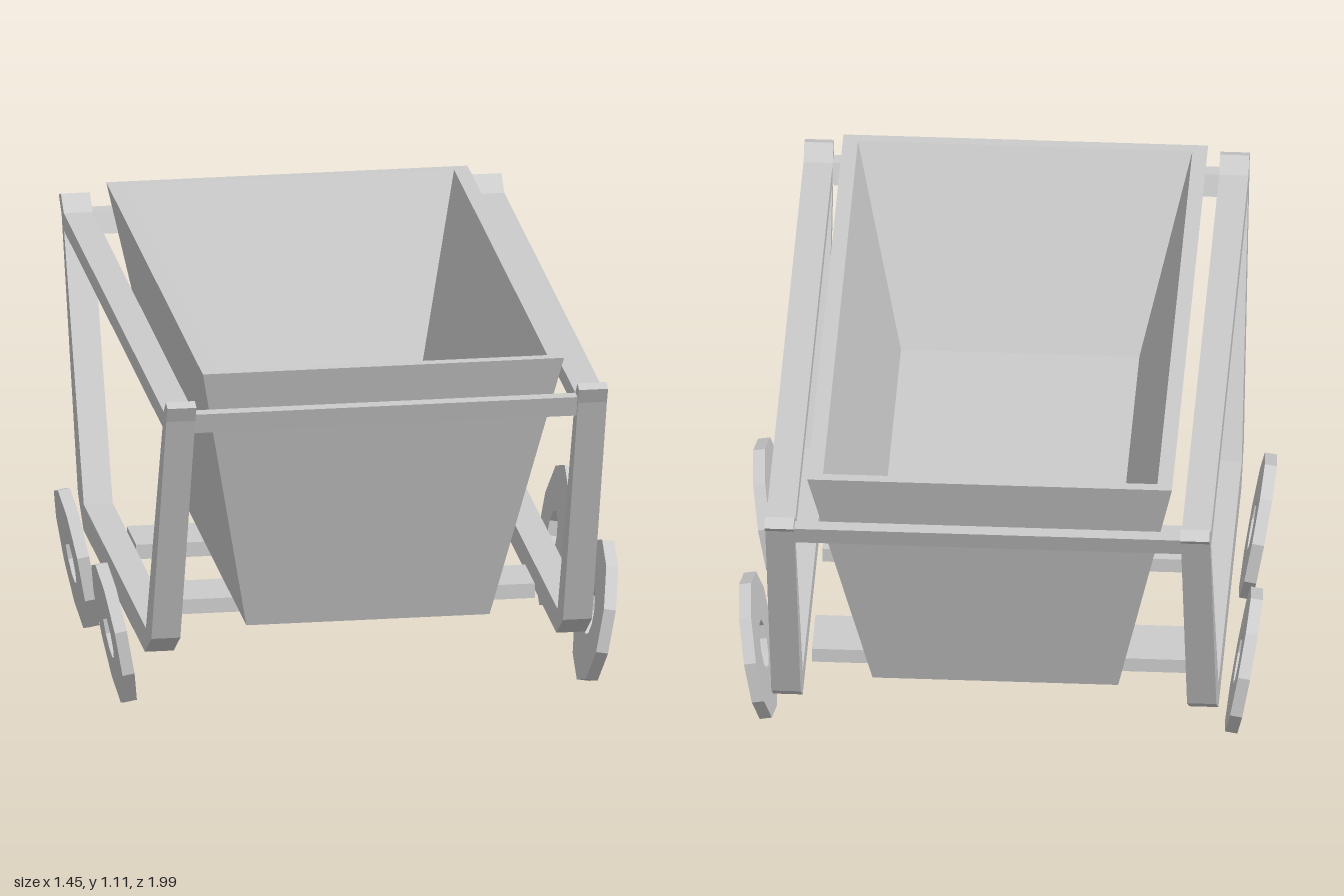
import * as THREE from 'three';

const material = new THREE.MeshStandardMaterial({ color: 0xcccccc, flatShading: true });

function add(parent, name, geometry) {
  const mesh = new THREE.Mesh(geometry, material);
  mesh.name = name;
  parent.add(mesh);
  return mesh;
}

const points = list => list.map(([a, b]) => new THREE.Vector2(a, b));

// Extrude a counter-clockwise side profile of [z, y] points from x0 to x1
function extrudeX(profile, x0, x1, hole) {
  const shape = new THREE.Shape(points(profile));
  if (hole) shape.holes.push(new THREE.Path(points(hole)));
  return new THREE.ExtrudeGeometry(shape, { depth: x1 - x0, bevelEnabled: false })
    .rotateY(-Math.PI / 2)
    .translate(x1, 0, 0);
}

// Hollow tapered bin: rectangles joined in order, closed at both ends
function binGeometry(rings) {
  const corners = rings.map(([x, z0, z1, y]) =>
    [[-x, y, z1], [x, y, z1], [x, y, z0], [-x, y, z0]]);
  const pos = [];
  const quad = (a, b, c, d) => pos.push(...a, ...b, ...c, ...a, ...c, ...d);
  for (let r = 0; r < corners.length - 1; r++) {
    for (let i = 0; i < 4; i++) {
      const j = (i + 1) % 4;
      quad(corners[r][i], corners[r][j], corners[r + 1][j], corners[r + 1][i]);
    }
  }
  quad(...[...corners[0]].reverse());
  quad(...corners[corners.length - 1]);
  const geometry = new THREE.BufferGeometry();
  geometry.setAttribute('position', new THREE.Float32BufferAttribute(pos, 3));
  geometry.computeVertexNormals();
  return geometry;
}

// Ten-sided disc with a ten-sided hole, axis along x
function wheelGeometry(radius, holeRadius, thickness) {
  const ring = r => Array.from({ length: 10 }, (_, i) => {
    const a = (i / 10) * Math.PI * 2;
    return [-r * Math.sin(a), r * Math.cos(a)];
  });
  return extrudeX(ring(radius), -thickness / 2, thickness / 2, ring(holeRadius));
}

export function createModel() {
  const cart = new THREE.Group();
  cart.name = 'cart';

  // Bin: outer bottom, outer rim, inner rim, raised inner floor
  add(cart, 'bin', binGeometry([
    [0.34, -0.572, 0.632, 0.285],
    [0.505, -0.856, 0.917, 1.11],
    [0.463, -0.825, 0.885, 1.11],
    [0.33, -0.58, 0.64, 0.587],
  ]));

  // Side frames with flared horns at the top corners
  const outline = [
    [0.58, 0.205], [0.7, 0.28], [0.974, 0.995], [0.997, 1.04], [0.966, 1.05], [0.925, 1.01],
    [-0.905, 1.01], [-0.96, 1.05], [-0.997, 1.035], [-0.946, 0.995], [-0.647, 0.28], [-0.545, 0.205],
  ];
  const opening = [[0.6, 0.28], [0.904, 0.96], [-0.9, 0.96], [-0.54, 0.28]];
  add(cart, 'leftFrame', extrudeX(outline, 0.535, 0.616, opening));
  add(cart, 'rightFrame', extrudeX(outline, -0.616, -0.535, opening));

  // Slanted bars joining the frames at each end
  add(cart, 'frontBar', extrudeX(
    [[0.905, 0.95], [0.945, 0.95], [0.966, 1.01], [0.925, 1.01]], -0.538, 0.538));
  add(cart, 'backBar', extrudeX(
    [[-0.93, 0.95], [-0.89, 0.95], [-0.913, 1.01], [-0.955, 1.01]], -0.538, 0.538));

  // Flat cross beams under the bin
  for (const [name, z] of [['frontBeam', 0.207], ['backBeam', -0.307]]) {
    add(cart, name, new THREE.BoxGeometry(1.036, 0.042, 0.174)).position.set(0, 0.238, z);
  }

  // Wheels, leaning outward at the top
  const wheel = wheelGeometry(0.204, 0.07, 0.034);
  for (const [end, z] of [['front', 0.39], ['back', -0.298]]) {
    for (const [side, sign] of [['Left', 1], ['Right', -1]]) {
      const mesh = add(cart, `${end}${side}Wheel`, wheel);
      mesh.position.set(sign * 0.673, 0.204, z);
      mesh.rotation.z = -sign * 0.175;
    }
  }

  return cart;
}
